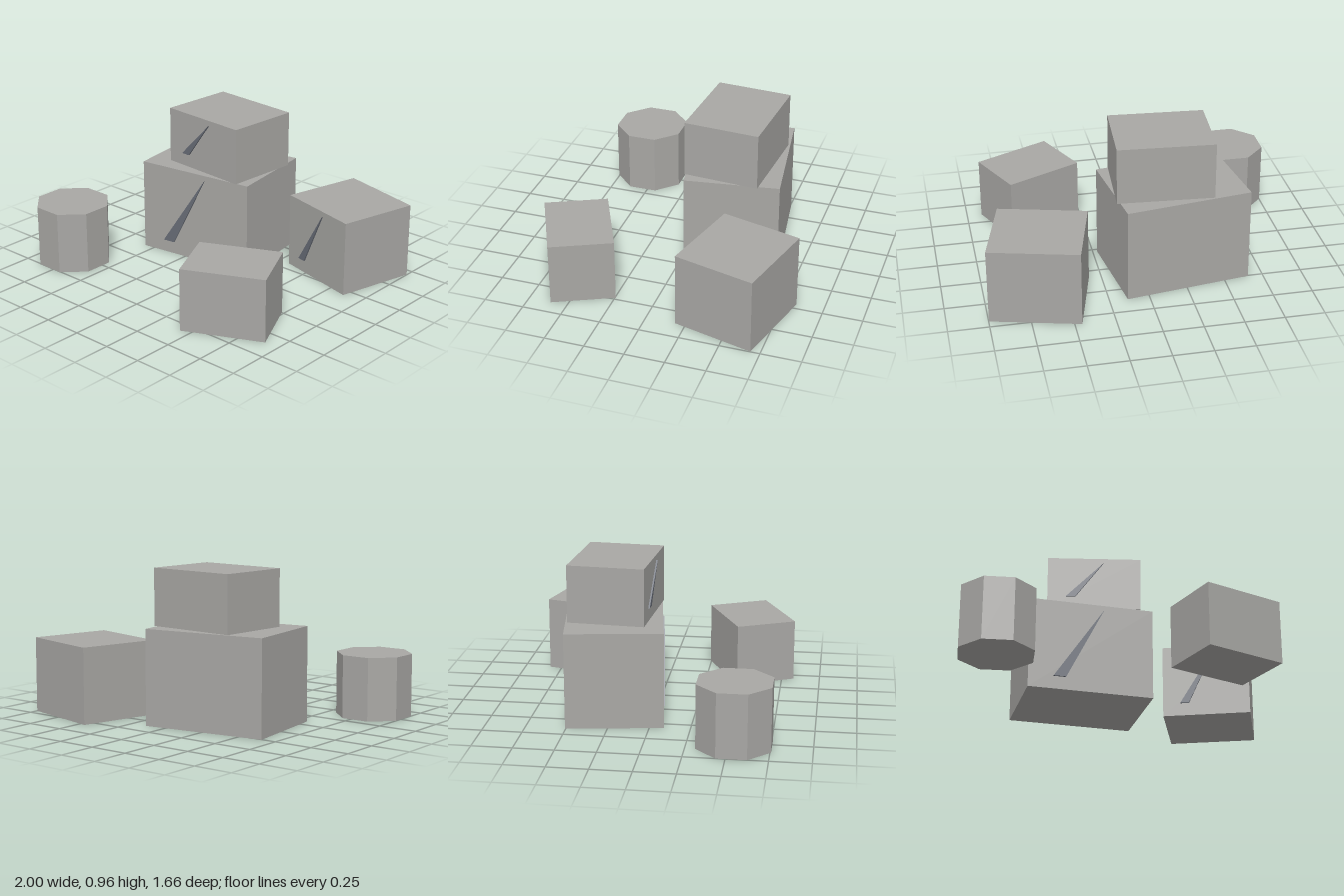
import * as THREE from 'three';

export function createModel() {
  const model = new THREE.Group();
  const stone = new THREE.MeshStandardMaterial({ color: 0xa8a7a4 });
  stone.name = 'stoneGrey';
  const vein = new THREE.MeshStandardMaterial({ color: 0x686d77 });
  vein.name = 'slateBlueGrey';

  // A squared boulder, with an optional slanted vein on its front face
  function boulder(name, [w, h, d], [x, y, z], turn, hasVein) {
    const group = new THREE.Group();
    group.name = name;
    group.position.set(x, y, z);
    group.rotation.y = turn;

    const block = new THREE.Mesh(new THREE.BoxGeometry(w, h, d), stone);
    block.name = name + 'Block';
    block.position.y = h / 2;
    group.add(block);

    if (hasVein) {
      const wedge = new THREE.Shape([
        new THREE.Vector2(-0.3 * w, 0.084),
        new THREE.Vector2(-0.2 * w, 0.084),
        new THREE.Vector2(0.1 * w, h - 0.034),
      ]);
      const plate = new THREE.Mesh(
        new THREE.ExtrudeGeometry(wedge, { depth: 0.0098, bevelEnabled: false }), vein);
      plate.name = name + 'Vein';
      plate.position.z = d / 2;
      group.add(plate);
    }
    model.add(group);
  }

  // Stacked pair, then the two loose boulders
  boulder('largeBoulder', [0.8, 0.6, 0.6], [-0.217, 0, -0.265], 0.142, true);
  boulder('stackedBoulder', [0.6, 0.36, 0.48], [-0.139, 0.6, -0.266], -0.07, true);
  boulder('backBoulder', [0.56, 0.48, 0.52], [0.663, 0, -0.508], -0.248, true);
  boulder('frontBoulder', [0.52, 0.4, 0.4], [0.583, 0, 0.536], 0.438, false);

  // Eight-sided stump of rock
  const stump = new THREE.Mesh(
    new THREE.CylinderGeometry(0.24, 0.24, 0.4, 8).rotateY(Math.PI / 8).toNonIndexed(), stone);
  stump.geometry.computeVertexNormals();
  stump.name = 'octagonalStone';
  stump.position.set(-0.779, 0.2, 0.535);
  model.add(stump);

  return model;
}
